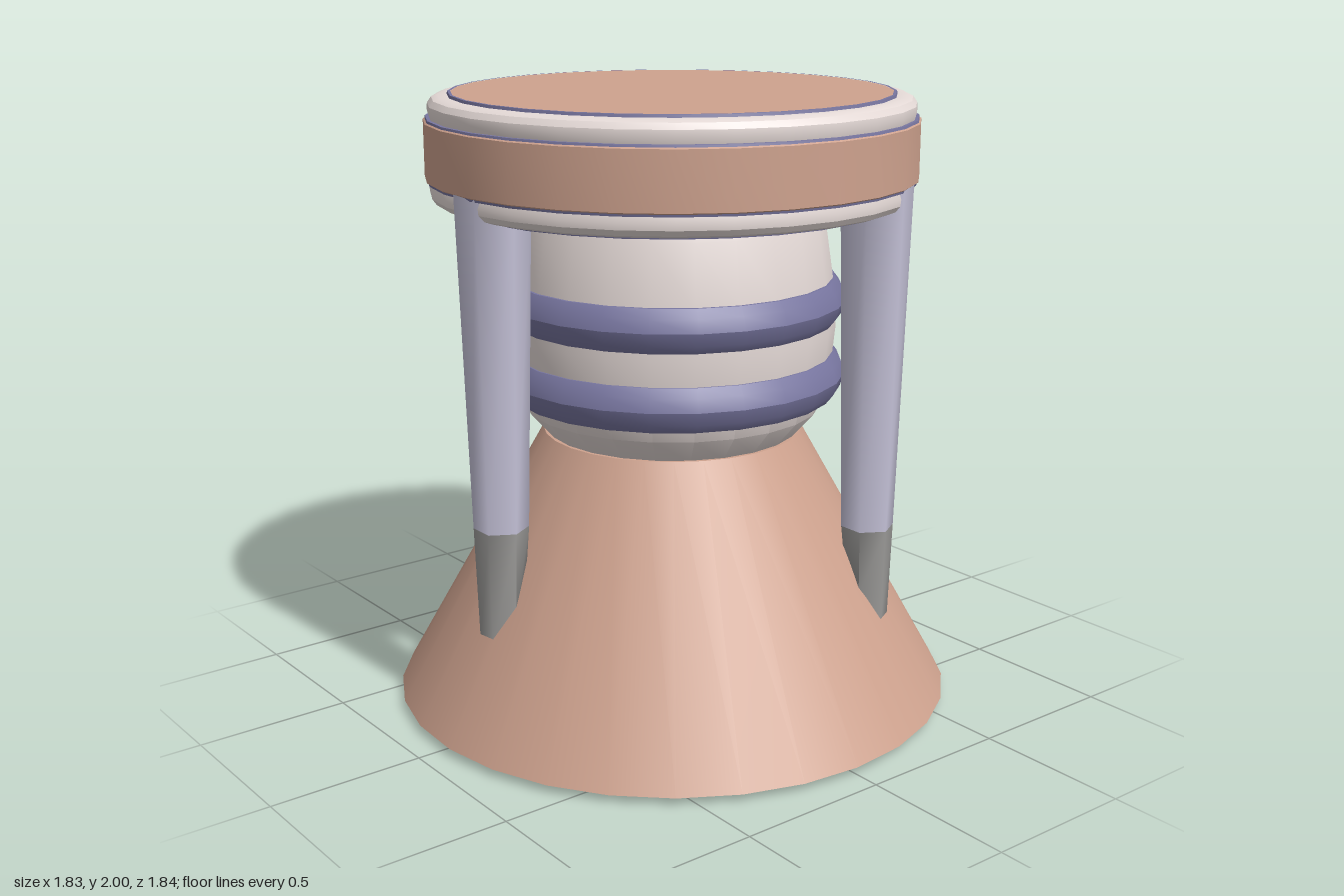
import * as THREE from 'three';
import { toCreasedNormals } from 'three/addons/utils/BufferGeometryUtils.js';

const paint = (name, color) => {
  const m = new THREE.MeshStandardMaterial({ color });
  m.name = name;
  return m;
};

export function createModel() {
  const model = new THREE.Group();
  model.name = 'pedestal';
  const clay = paint('clay', 0xcea28e);
  const cream = paint('cream', 0xe5dad7);
  const violet = paint('violet', 0x7876a0);
  const lilac = paint('lilac', 0xc5c2d8);
  const grey = paint('grey', 0x9b9a98);
  const charcoal = paint('charcoal', 0x7c7c7a);
  const teal = paint('teal', 0x66b6c8);

  const add = (name, geometry, material, parent = model) => {
    const mesh = new THREE.Mesh(geometry, material);
    mesh.name = name;
    parent.add(mesh);
    return mesh;
  };

  // Turned part from [radius, y] pairs, listed bottom to top on the outside
  const turned = (name, profile, material, sides = 29) => {
    const points = profile.map(([r, y]) => new THREE.Vector2(r, y));
    const lathe = new THREE.LatheGeometry(points, sides, Math.PI / 2);
    return add(name, toCreasedNormals(lathe, 0.5), material);
  };

  // Hollow flared base
  turned('baseCone', [[0.92, 0.025], [0.425, 0.905], [0, 0.905]], clay);
  turned('baseRim', [[0.842, 0], [0.92, 0.025]], charcoal);
  turned('baseInside', [[0, 0.88], [0.36, 0.88], [0.842, 0]], teal);

  // Barrel body with two bands
  turned('barrel', [
    [0.41, 0.9], [0.485, 0.985], [0.515, 1.1], [0.53, 1.25],
    [0.52, 1.4], [0.49, 1.6], [0.465, 1.66],
  ], cream, 24);
  for (const y of [1.097, 1.34]) {
    const band = turned('barrelBand', [
      [0.46, -0.072], [0.527, -0.07], [0.549, -0.042], [0.561, 0],
      [0.549, 0.042], [0.527, 0.07], [0.46, 0.072],
    ], violet, 24);
    band.position.y = y;
  }

  // Round top: clay drum with matching trim above and below
  turned('drum', [[0.775, 1.73], [0.783, 1.736], [0.783, 1.914], [0.775, 1.92]], clay);
  const middle = 1.825;
  const trim = [
    ['seam', [[0.778, 1.917], [0.776, 1.925], [0.74, 1.925]], violet],
    ['roundedRing', [[0.764, 1.922], [0.77, 1.945], [0.768, 1.965], [0.755, 1.983], [0.735, 1.991], [0.7, 1.991]], cream],
    ['innerEdge', [[0.707, 1.988], [0.704, 2], [0.695, 2]], violet],
    ['discFace', [[0.696, 1.999], [0, 1.999]], clay],
  ];
  for (const [name, profile, material] of trim) {
    turned(name + 'Upper', profile, material);
    const flipped = profile.map(([r, y]) => [r, 2 * middle - y]).reverse();
    turned(name + 'Lower', flipped, material);
  }

  // Three tapered six-sided struts with worn grey feet
  const top = 1.735, foot = 0.28, reach = 0.675;
  const radiusAt = (y) => 0.075 + 0.04 * (y - foot) / (top - foot);
  const strutPiece = (name, low, high, material, parent) => {
    const piece = new THREE.CylinderGeometry(
      radiusAt(high), radiusAt(low), high - low, 6, 1, false, Math.PI / 6);
    piece.translate(0, (low + high) / 2, reach);
    if (low === foot) {
      // Cut the foot along the slope of the cone, just under its surface
      const p = piece.attributes.position;
      for (let i = 0; i < p.count; i++) {
        if (p.getY(i) > (low + high) / 2) continue;
        const r = Math.hypot(p.getX(i), p.getZ(i));
        p.setY(i, (0.92 - r) / 0.5625);
      }
    }
    add(name, toCreasedNormals(piece, 1.2), material, parent);
  };
  [0.69, 0.64, 0.6].forEach((split, i) => {
    const strut = new THREE.Group();
    strut.name = 'strut';
    strut.rotation.y = i * Math.PI * 2 / 3;
    strutPiece('strutShaft', split, top, lilac, strut);
    strutPiece('strutFoot', foot, split, grey, strut);
    model.add(strut);
  });
  return model;
}
